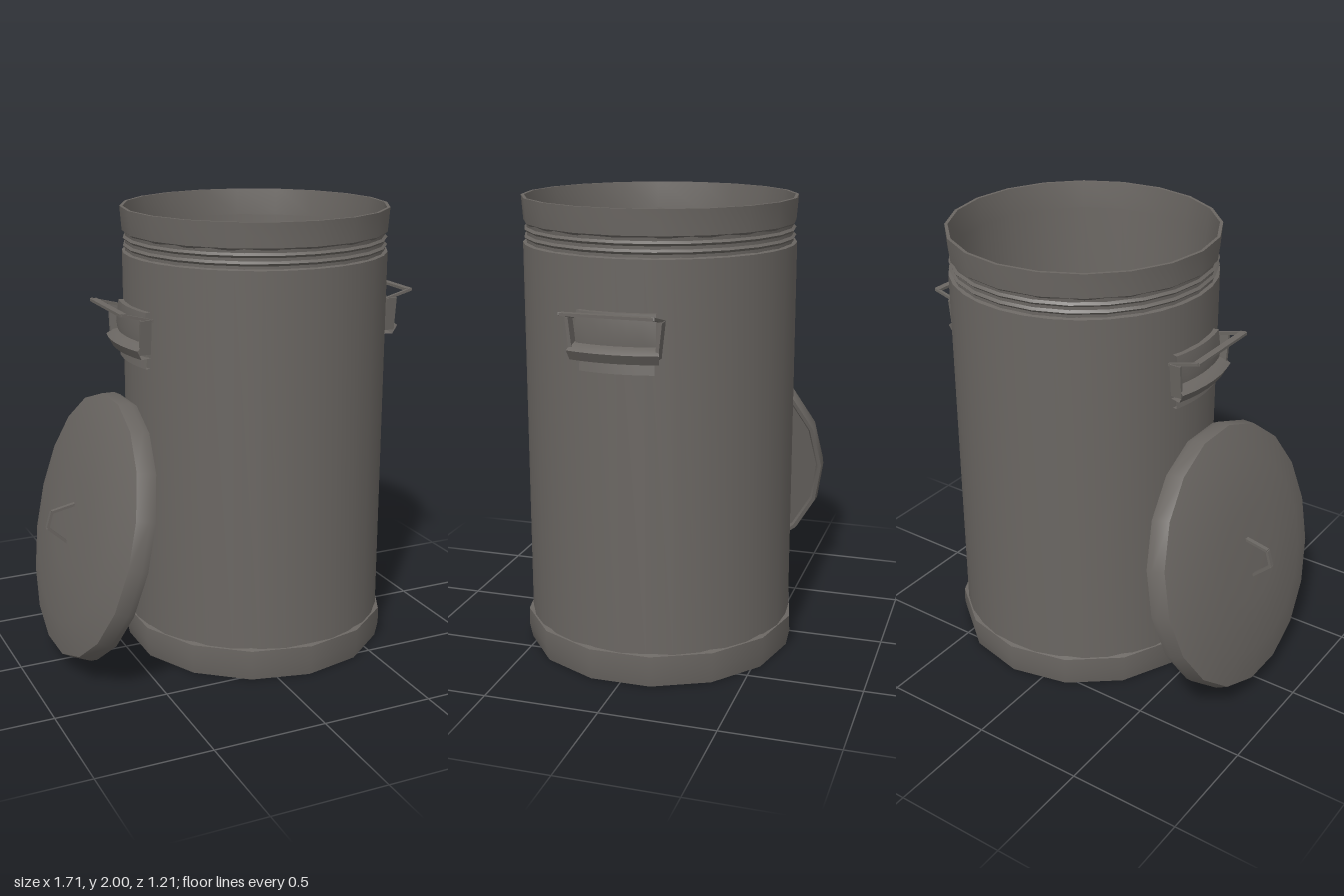
import * as THREE from 'three';
import { toCreasedNormals } from 'three/addons/utils/BufferGeometryUtils.js';

const metal = new THREE.MeshStandardMaterial({ color: 0x6a6662, side: THREE.DoubleSide });
metal.name = 'dull grey metal';

function add(parent, geometry, name) {
  const mesh = new THREE.Mesh(geometry, metal);
  mesh.name = name;
  parent.add(mesh);
  return mesh;
}

// Turned sheet metal; creases stay sharp, the round stays smooth
function turned(parent, name, profile, sides, start = 0, length = Math.PI * 2) {
  const points = profile.map(([r, y]) => new THREE.Vector2(r, y));
  const geometry = new THREE.LatheGeometry(points, sides, start, length);
  return add(parent, toCreasedNormals(geometry, 0.7), name);
}

// Curved panel hugging the can on its +x side, half-width w along z
function panel(parent, name, profile, w) {
  const a = Math.asin(w / 0.6);
  return turned(parent, name, profile, 6, Math.PI / 2 - a, 2 * a);
}

// Straight flat bar between two points
function bar(parent, name, from, to, width, depth) {
  const a = new THREE.Vector3(...from), b = new THREE.Vector3(...to);
  const mesh = add(parent, new THREE.BoxGeometry(width, a.distanceTo(b), depth), name);
  mesh.position.copy(a).add(b).multiplyScalar(0.5);
  mesh.quaternion.setFromUnitVectors(new THREE.Vector3(0, 1, 0), b.sub(a).normalize());
  return mesh;
}

function createSideHandle() {
  const handle = new THREE.Group();
  handle.name = 'sideHandle';
  panel(handle, 'backPlate', [[0.58, 1.42], [0.606, 1.42], [0.618, 1.5], [0.606, 1.595], [0.58, 1.595]], 0.165);
  panel(handle, 'lowerTongue', [[0.58, 1.35], [0.604, 1.35], [0.596, 1.41]], 0.158);
  // Rolled lip under the grip
  panel(handle, 'rolledLip', [[0.59, 1.4], [0.64, 1.4], [0.662, 1.44], [0.635, 1.46], [0.59, 1.47]], 0.175);
  // Raised wire grip and the ears it hangs from
  bar(handle, 'gripBar', [0.692, 1.598, -0.19], [0.692, 1.598, 0.19], 0.03, 0.012);
  for (const s of [-1, 1]) {
    bar(handle, 'gripArm', [0.56, 1.563, s * 0.19], [0.7, 1.6, s * 0.19], 0.012, 0.014);
    bar(handle, 'ear', [0.595, 1.57, s * 0.195], [0.595, 1.42, s * 0.178], 0.05, 0.014);
  }
  return handle;
}

function createLid() {
  const lid = new THREE.Group();
  lid.name = 'lid';
  // Shallow dome with a rim and a slightly recessed underside
  turned(lid, 'lidShell', [
    [0, 0.012], [0.565, 0.012], [0.575, 0], [0.592, 0], [0.598, 0.03],
    [0.585, 0.085], [0.44, 0.125], [0.2, 0.137], [0, 0.142],
  ], 18);
  // Bent strap handle
  const strap = [[-0.095, 0.13], [-0.037, 0.238], [0.037, 0.235], [0.088, 0.13]];
  for (let i = 0; i < 3; i++) {
    bar(lid, 'lidHandle', [...strap[i], -0.008], [...strap[i + 1], -0.008], 0.012, 0.02);
  }
  // Leaning against the can
  lid.rotation.z = 1.316;
  lid.position.set(-0.61, 0.615, 0);
  return lid;
}

export function createModel() {
  const model = new THREE.Group();
  model.name = 'dustbin';
  const can = new THREE.Group();
  can.name = 'can';
  can.position.x = 0.145;
  model.add(can);

  turned(can, 'base', [[0, 0], [0.592, 0], [0.606, 0.07], [0.604, 0.14], [0.575, 0.15]], 14);
  turned(can, 'wall', [[0.585, 0.12], [0.585, 1.805], [0.57, 1.81]], 32);
  // Pinched neck with two ribs
  turned(can, 'neck', [
    [0.572, 1.8], [0.572, 1.822], [0.582, 1.832], [0.572, 1.842],
    [0.572, 1.855], [0.582, 1.865], [0.572, 1.875], [0.574, 1.895],
  ], 24);
  // Rim folds over into the inner wall and floor
  turned(can, 'rimAndInside', [
    [0.572, 1.885], [0.584, 1.895], [0.592, 2], [0.578, 2], [0.565, 1.88], [0.565, 0.1], [0, 0.1],
  ], 20);

  const leftHandle = createSideHandle();
  const rightHandle = createSideHandle();
  rightHandle.rotation.y = Math.PI;
  can.add(leftHandle, rightHandle);

  model.add(createLid());
  return model;
}
